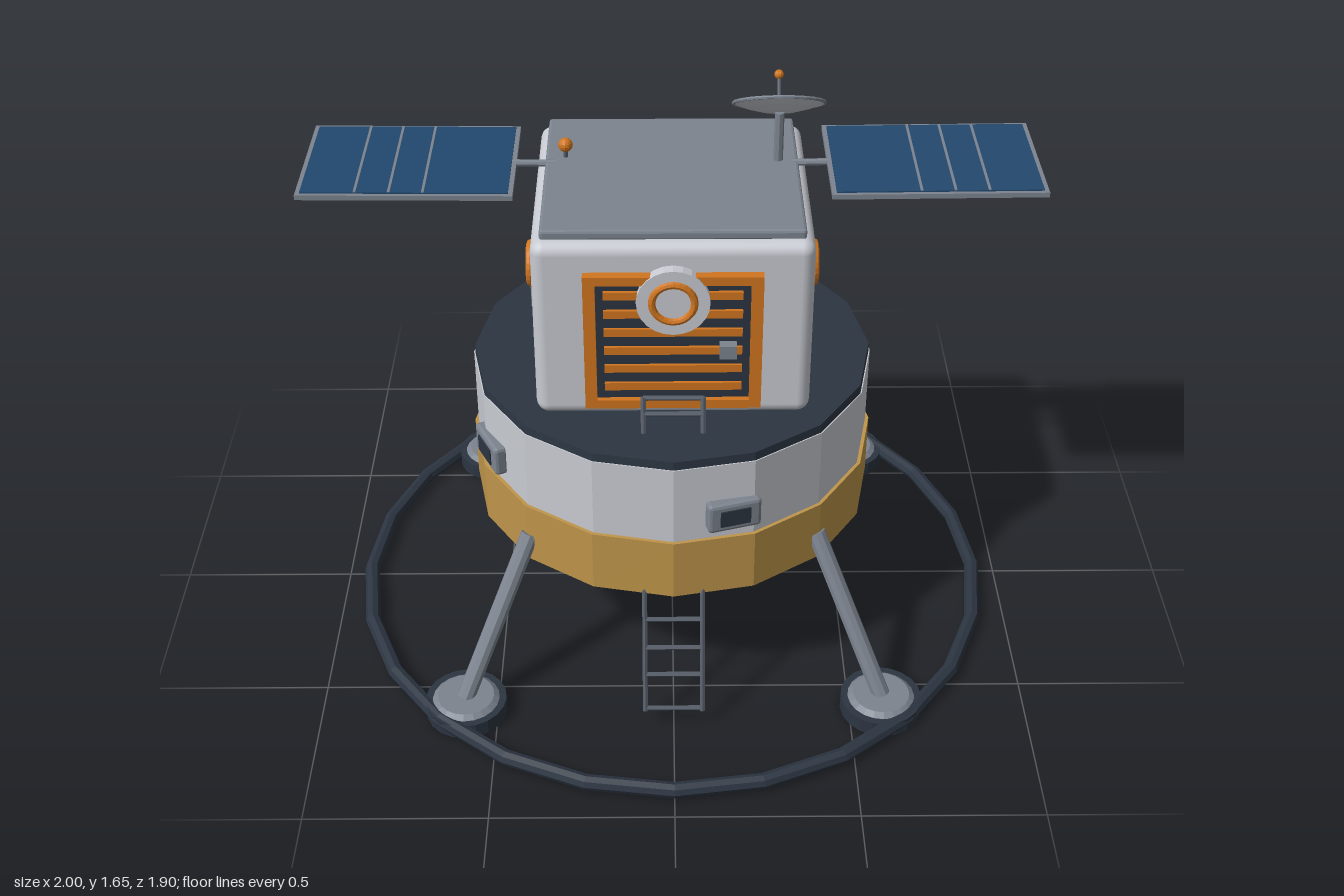
import * as THREE from 'three';
import { RoundedBoxGeometry } from 'three/addons/geometries/RoundedBoxGeometry.js';

const material = (name, color, extra = {}) => {
  const m = new THREE.MeshStandardMaterial({ color, flatShading: true, ...extra });
  m.name = name;
  return m;
};

export function createModel() {
  const white = material('hull white', 0xc8cbd2);
  const smoothWhite = white.clone();
  smoothWhite.flatShading = false;
  const dishWhite = white.clone();
  dishWhite.side = THREE.DoubleSide;
  const grey = material('panel grey', 0x7c848f);
  const dark = material('dark slate', 0x2c3542);
  const gold = material('gold foil', 0xbf954a);
  const orange = material('orange trim', 0xd1761f);
  const blue = material('solar blue', 0x22486e);
  const steel = material('dark steel', 0x565e69);

  const model = new THREE.Group();
  model.name = 'landerModel';

  const add = (parent, name, geometry, mat, x = 0, y = 0, z = 0) => {
    const mesh = new THREE.Mesh(geometry, mat);
    mesh.name = name;
    mesh.position.set(x, y, z);
    parent.add(mesh);
    return mesh;
  };
  const group = (parent, name, x = 0, y = 0, z = 0) => {
    const g = new THREE.Group();
    g.name = name;
    g.position.set(x, y, z);
    parent.add(g);
    return g;
  };
  const box = (w, h, d) => new THREE.BoxGeometry(w, h, d);
  const cyl = (top, bottom, h, sides = 16) => new THREE.CylinderGeometry(top, bottom, h, sides);
  // Disc or drum whose axis points along +z
  const drum = (r, depth, sides = 24) => cyl(r, r, depth, sides).rotateX(Math.PI / 2);
  const rod = (parent, name, a, b, r, mat, sides = 8) => {
    const from = new THREE.Vector3(...a), to = new THREE.Vector3(...b);
    const dir = to.clone().sub(from);
    const mesh = add(parent, name, cyl(r, r, dir.length(), sides), mat);
    mesh.position.copy(from).add(to).multiplyScalar(0.5);
    mesh.quaternion.setFromUnitVectors(new THREE.Vector3(0, 1, 0), dir.normalize());
    return mesh;
  };

  // Landing ring, legs and foot pads
  add(model, 'groundRing', new THREE.TorusGeometry(0.93, 0.022, 8, 24).rotateX(Math.PI / 2), dark, 0, 0.028);
  for (const sx of [-1, 1]) for (const sz of [-1, 1]) {
    const leg = group(model, 'landingLeg');
    add(leg, 'footPad', cyl(0.115, 0.115, 0.045, 20), dark, sx * 0.59, 0.0225, sz * 0.59);
    add(leg, 'footPadTop', cyl(0.08, 0.095, 0.012, 20), grey, sx * 0.59, 0.051, sz * 0.59);
    rod(leg, 'legStrut', [sx * 0.59, 0.05, sz * 0.59], [sx * 0.4, 0.49, sz * 0.4], 0.026, grey, 10);
  }

  // Descent stage
  add(model, 'bellyPlate', cyl(0.565, 0.555, 0.015), white, 0, 0.403);
  add(model, 'foilBand', cyl(0.578, 0.578, 0.185), gold, 0, 0.5025);
  add(model, 'hullBand', cyl(0.568, 0.568, 0.24), white, 0, 0.715);
  add(model, 'deck', cyl(0.563, 0.565, 0.028), dark, 0, 0.846);

  // Engine bell
  add(model, 'engineBell', cyl(0.165, 0.258, 0.235, 20), dark, 0, 0.285);
  add(model, 'engineLip', new THREE.TorusGeometry(0.255, 0.009, 6, 24).rotateX(Math.PI / 2), dark, 0, 0.172);

  // Hull ports spaced around the stage
  for (const degrees of [16.5, 112, 199, 296]) {
    const port = group(model, 'hullPort', 0, 0.675, 0);
    port.rotation.y = THREE.MathUtils.degToRad(degrees);
    add(port, 'portFrame', new RoundedBoxGeometry(0.15, 0.09, 0.04, 1, 0.01), grey, 0, 0, 0.565);
    add(port, 'portWindow', box(0.085, 0.05, 0.006), dark, 0, 0, 0.586);
  }
  const hatch = add(model, 'rearHatch', new RoundedBoxGeometry(0.25, 0.12, 0.04, 1, 0.01), grey, 0, 0.62, -0.565);
  hatch.rotation.y = 0.03;
  for (const sx of [-1, 1]) add(model, 'rearNozzle', cyl(0.012, 0.012, 0.03, 8), grey, sx * 0.15, 0.395, -0.515);

  // Ladder and hand rail, both leaning towards the cabin
  const ladder = group(model, 'ladder');
  const railAt = t => [0.42 - 0.365 * t, 0.555 + 0.1 * t];
  for (const sx of [-1, 1]) {
    rod(ladder, 'ladderRail', [sx * 0.08, ...railAt(0)], [sx * 0.08, ...railAt(1)], 0.008, steel, 6);
    rod(ladder, 'handRail', [sx * 0.08, 0.855, 0.43], [sx * 0.08, 0.955, 0.4], 0.008, steel, 6);
  }
  for (const t of [0.02, 0.25, 0.48, 0.7, 0.98])
    rod(ladder, 'ladderRung', [-0.08, ...railAt(t)], [0.08, ...railAt(t)], 0.007, steel, 6);
  for (const [y, z] of [[0.91, 0.414], [0.952, 0.4]])
    rod(ladder, 'handRailBar', [-0.08, y, z], [0.08, y, z], 0.007, steel, 6);

  // Cabin and roof
  add(model, 'cabin', new RoundedBoxGeometry(0.74, 0.535, 0.69, 3, 0.035), smoothWhite, 0, 1.126, 0.004);
  add(model, 'roofPlate', new RoundedBoxGeometry(0.69, 0.03, 0.635, 1, 0.008), grey, 0, 1.403, 0);

  // Front door with slats and a round window
  const door = group(model, 'door', 0, 1.107, 0.35);
  add(door, 'doorPanel', box(0.42, 0.37, 0.02), dark);
  for (const s of [-1, 1]) {
    add(door, 'doorFrameSide', box(0.032, 0.41, 0.05), orange, s * 0.219, 0, 0);
    add(door, 'doorFrameBar', box(0.47, 0.026, 0.05), orange, 0, s * 0.193, 0);
  }
  for (let i = 0; i < 6; i++) add(door, 'doorSlat', box(0.365, 0.023, 0.02), orange, 0, -0.14 + i * 0.057, 0.008);
  add(door, 'doorHandle', box(0.045, 0.04, 0.04), grey, 0.145, -0.02, 0.018);
  add(door, 'windowCollar', drum(0.097, 0.04), white, 0, 0.13, 0.01);
  add(door, 'windowRing', new THREE.TorusGeometry(0.056, 0.01, 8, 24), orange, 0, 0.13, 0.03);

  // Side portholes and side lockers
  for (const s of [-1, 1]) {
    const side = group(model, 'cabinSide', s * 0.37, 0, 0);
    side.rotation.y = s * Math.PI / 2;
    const z = s * -0.13; // local x runs along the cabin side
    add(side, 'portholeGlass', drum(0.05, 0.024), dark, z, 1.21, 0.004);
    add(side, 'portholeRing', new THREE.TorusGeometry(0.053, 0.012, 8, 24), orange, z, 1.21, 0.012);
    add(side, 'sideLocker', new RoundedBoxGeometry(0.172, 0.115, 0.05, 1, 0.006), grey, s * 0.095, 1.032, 0.003);
  }

  // Solar wings
  for (const s of [-1, 1]) {
    const wing = group(model, 'solarWing', s * 0.71, 1.417, -0.06);
    wing.rotation.z = s * 0.008;
    add(wing, 'wingFrame', box(0.575, 0.014, 0.4), grey);
    add(wing, 'solarCells', box(0.55, 0.005, 0.378), blue, 0, 0.008, 0);
    for (const x of [-0.05, 0.04, 0.13])
      add(wing, 'cellDivider', box(0.007, 0.004, 0.378), grey, s * x, 0.011, 0);
    rod(model, 'wingArm', [s * 0.32, 1.412, -0.06], [s * 0.44, 1.414, -0.06], 0.01, grey);
  }

  // Dish antenna
  rod(model, 'dishMast', [0.29, 1.41, -0.067], [0.29, 1.56, -0.067], 0.013, grey);
  const dish = group(model, 'dishAntenna', 0.29, 1.572, -0.1);
  dish.rotation.x = -0.59;
  const profile = [0, 0.045, 0.09, 0.125].map(r => new THREE.Vector2(r, -0.028 + 1.8 * r * r));
  add(dish, 'dishBowl', new THREE.LatheGeometry(profile, 24), dishWhite);
  add(dish, 'dishRim', new THREE.TorusGeometry(0.124, 0.005, 6, 24).rotateX(Math.PI / 2), grey);
  rod(dish, 'feedRod', [0, -0.028, 0], [0, 0.075, 0], 0.005, steel, 6);
  add(dish, 'feedTip', new THREE.SphereGeometry(0.013, 10, 8), orange, 0, 0.077, 0);

  // Roof beacon
  rod(model, 'beaconStem', [-0.29, 1.41, -0.087], [-0.29, 1.445, -0.087], 0.007, steel, 6);
  add(model, 'beacon', new THREE.SphereGeometry(0.02, 12, 8), orange, -0.29, 1.454, -0.087);

  return model;
}
